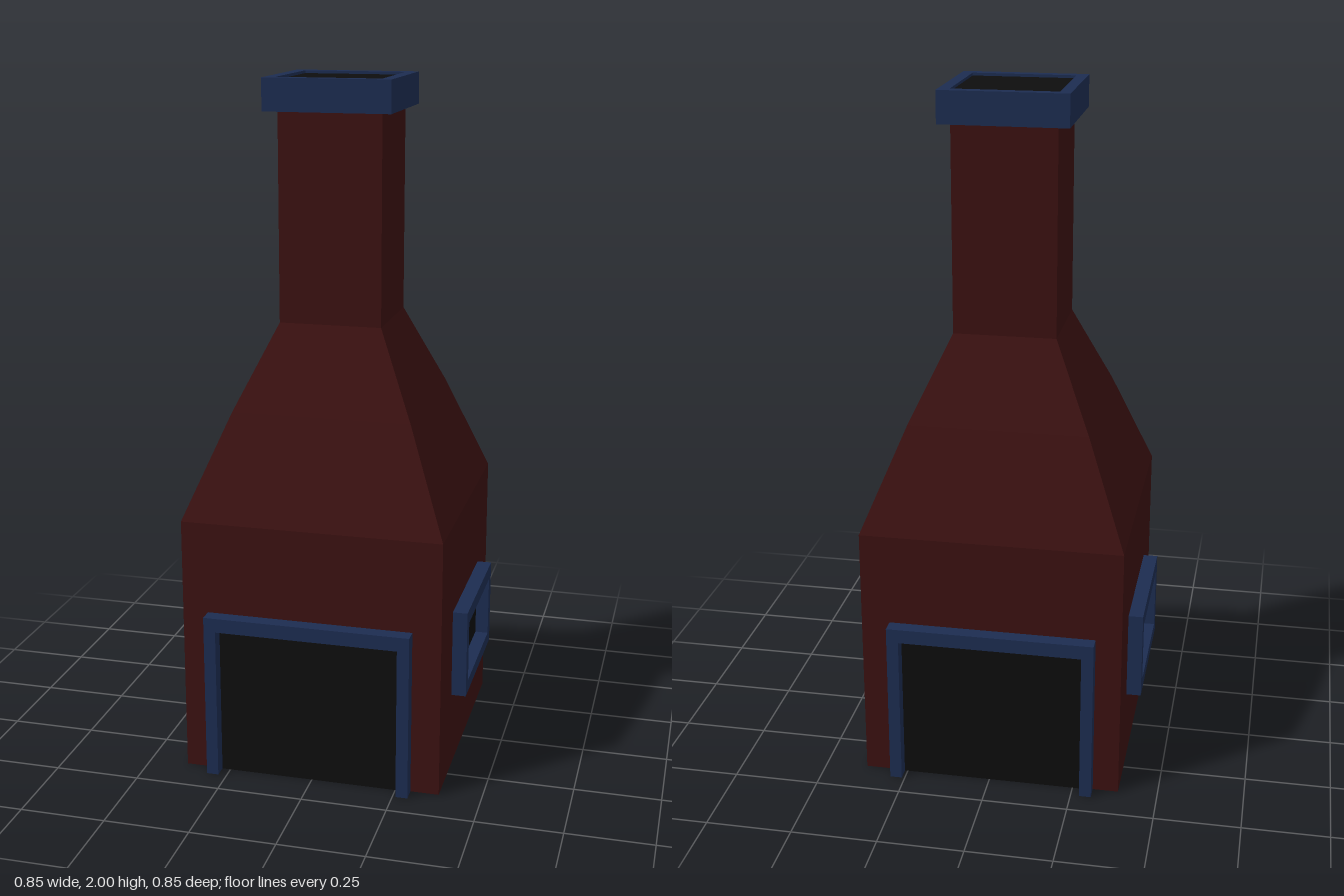
import * as THREE from 'three';

const brick = new THREE.MeshStandardMaterial({ color: 0x3b1111, flatShading: true });
const trim = new THREE.MeshStandardMaterial({ color: 0x1c2c50, flatShading: true });
const soot = new THREE.MeshStandardMaterial({ color: 0x0d0d0d, flatShading: true });

const HALF = 0.381; // half width of the body
const CX = -0.004, CZ = -0.003; // axis of the body

function rect(Type, x0, y0, x1, y1) {
  return new Type([[x0, y0], [x1, y0], [x1, y1], [x0, y1]].map(p => new THREE.Vector2(...p)));
}

function add(parent, name, geometry, material) {
  const mesh = new THREE.Mesh(geometry, material);
  mesh.name = name;
  parent.add(mesh);
  return mesh;
}

// Framed opening that stands out from a wall, facing +z
function opening(name, outline, panel) {
  const group = new THREE.Group();
  group.name = name;
  const frame = new THREE.ExtrudeGeometry(outline, { depth: 0.043, bevelEnabled: false });
  add(group, name + 'Frame', frame, trim);
  const [x0, y0, x1, y1] = panel;
  const dark = add(group, name + 'Dark', new THREE.BoxGeometry(x1 - x0, y1 - y0, 0.008), soot);
  dark.position.set((x0 + x1) / 2, (y0 + y1) / 2, 0);
  return group;
}

export function createModel() {
  const model = new THREE.Group();
  model.name = 'brickOven';

  // Square body, tapered hood and chimney shaft in one profile
  const profile = [[0, 0], [HALF, 0], [HALF, 0.765], [0.261, 1.065], [0.149, 1.31], [0.149, 1.95], [0, 1.95]]
    .map(([r, y]) => new THREE.Vector2(r * Math.SQRT2, y));
  const body = add(model, 'body', new THREE.LatheGeometry(profile, 4, Math.PI / 4), brick);
  body.position.set(CX, 0, CZ);

  // Chimney cap ring with its dark flue
  const ring = rect(THREE.Shape, -0.183, -0.182, 0.183, 0.182);
  ring.holes.push(rect(THREE.Path, -0.15, -0.15, 0.15, 0.15));
  const capGeometry = new THREE.ExtrudeGeometry(ring, { depth: 0.092, bevelEnabled: false });
  capGeometry.rotateX(-Math.PI / 2);
  add(model, 'chimneyCap', capGeometry, trim).position.set(-0.006, 1.908, -0.003);
  add(model, 'flue', new THREE.BoxGeometry(0.3, 0.06, 0.3), soot).position.set(-0.006, 1.962, -0.003);

  // Fire openings, front and back: frame without a sill
  for (const side of [1, -1]) {
    const arch = new THREE.Shape([
      [-0.302, 0], [-0.267, 0], [-0.267, 0.452], [0.267, 0.452], [0.267, 0],
      [0.302, 0], [0.302, 0.494], [-0.302, 0.494],
    ].map(p => new THREE.Vector2(...p)));
    const door = opening(side > 0 ? 'frontOpening' : 'backOpening', arch, [-0.267, 0, 0.267, 0.452]);
    door.position.set(-0.008, 0, CZ + side * HALF);
    if (side < 0) door.rotation.y = Math.PI;
    model.add(door);
  }

  // Small windows, left and right
  for (const side of [1, -1]) {
    const frame = rect(THREE.Shape, -0.212, 0.233, 0.212, 0.494);
    frame.holes.push(rect(THREE.Path, -0.178, 0.27, 0.178, 0.452));
    const win = opening(side > 0 ? 'leftWindow' : 'rightWindow', frame, [-0.178, 0.27, 0.178, 0.452]);
    win.position.set(CX + side * HALF, 0, -0.008);
    win.rotation.y = side * Math.PI / 2;
    model.add(win);
  }

  return model;
}
